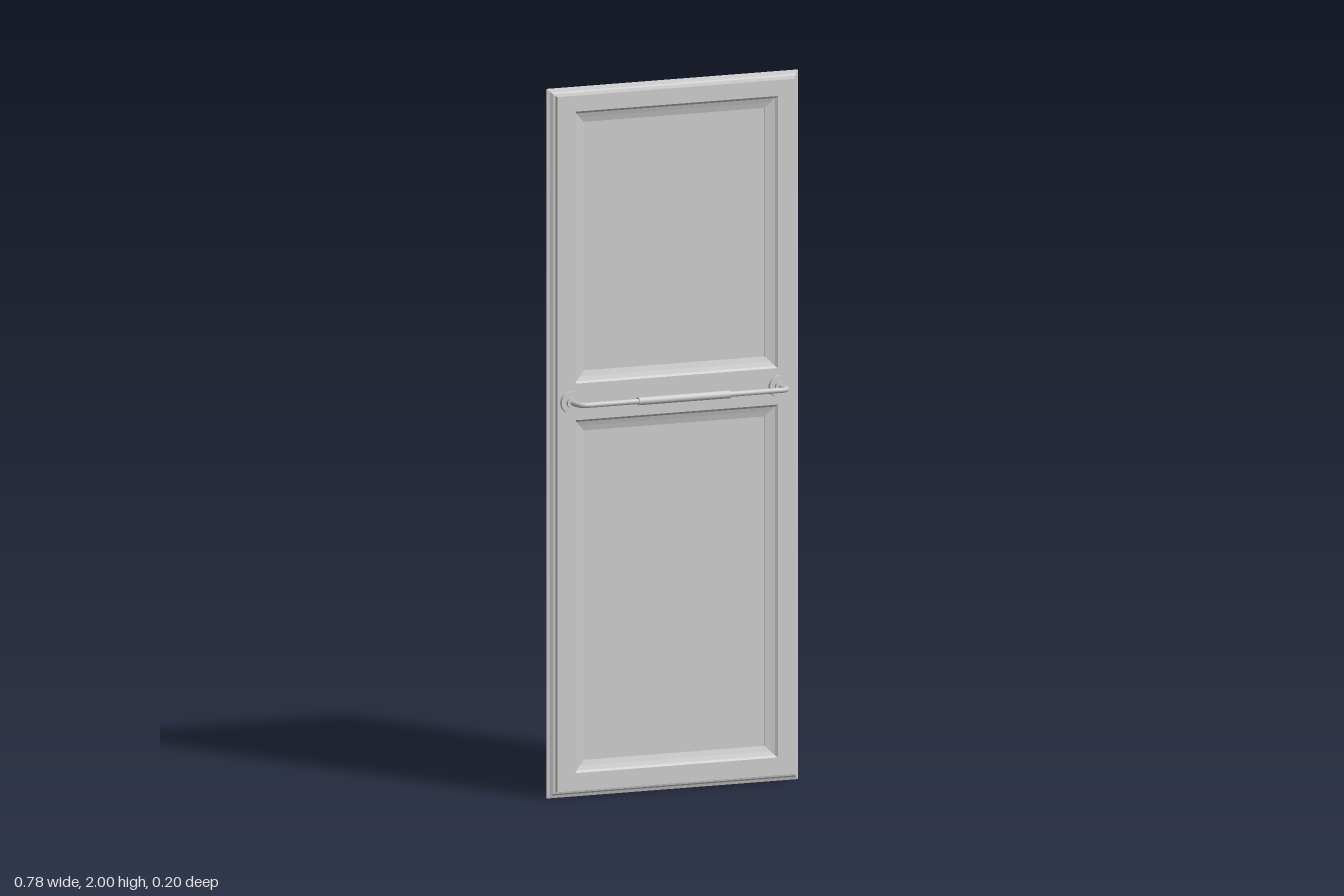
import * as THREE from 'three';

const W = 0.388, FRONT = 0.018, BACK = -0.023, MID = (FRONT + BACK) / 2;
const material = new THREE.MeshStandardMaterial({ color: 0xcccccc });

function add(parent, name, geometry) {
  const mesh = new THREE.Mesh(geometry, material);
  mesh.name = name;
  parent.add(mesh);
  return mesh;
}

// Rectangular moulding: joins rectangles shrunk by each [inset, z] of a profile
function moulding([x0, x1, y0, y1], profile) {
  const rings = profile.map(([d, z]) => [
    [x0 + d, y0 + d, z], [x1 - d, y0 + d, z], [x1 - d, y1 - d, z], [x0 + d, y1 - d, z],
  ]);
  const pos = [];
  for (let r = 0; r < rings.length - 1; r++) {
    for (let i = 0; i < 4; i++) {
      const j = (i + 1) % 4;
      const a = rings[r][i], b = rings[r][j], c = rings[r + 1][j], d = rings[r + 1][i];
      pos.push(...a, ...b, ...c, ...a, ...c, ...d);
    }
  }
  const g = new THREE.BufferGeometry();
  g.setAttribute('position', new THREE.Float32BufferAttribute(pos, 3));
  g.computeVertexNormals();
  return g;
}

function rectangle(PathType, [x0, x1, y0, y1], d = 0) {
  return new PathType([[x0 + d, y0 + d], [x1 - d, y0 + d], [x1 - d, y1 - d], [x0 + d, y1 - d]]
    .map(([x, y]) => new THREE.Vector2(x, y)));
}

// Handle facing +z, standing on z = 0
function makeHandle(name) {
  const handle = new THREE.Group();
  handle.name = name;
  const half = 0.322, reach = 0.069, bend = 0.025;
  const V = (x, z) => new THREE.Vector3(x, 0, z);

  // Bent bar: straight legs, rounded corners, straight middle
  const path = new THREE.CurvePath();
  path.add(new THREE.LineCurve3(V(-half, 0), V(-half, reach - bend)));
  path.add(new THREE.QuadraticBezierCurve3(V(-half, reach - bend), V(-half, reach), V(bend - half, reach)));
  path.add(new THREE.LineCurve3(V(bend - half, reach), V(half - bend, reach)));
  path.add(new THREE.QuadraticBezierCurve3(V(half - bend, reach), V(half, reach), V(half, reach - bend)));
  path.add(new THREE.LineCurve3(V(half, reach - bend), V(half, 0)));
  add(handle, 'handleBar', new THREE.TubeGeometry(path, 160, 0.0075, 12));

  const grip = add(handle, 'grip', new THREE.CylinderGeometry(0.011, 0.011, 0.283, 20));
  grip.rotation.z = Math.PI / 2;
  grip.position.set(-0.004, 0, reach);

  // Stepped mounting discs
  for (const side of [-1, 1]) {
    for (const [part, radius, z0, z1] of [['rosette', 0.031, 0, 0.01], ['collar', 0.016, 0.01, 0.018]]) {
      const disc = add(handle, part, new THREE.CylinderGeometry(radius, radius, z1 - z0, 28));
      disc.rotation.x = Math.PI / 2;
      disc.position.set(side * half, 0, (z0 + z1) / 2);
    }
  }
  return handle;
}

export function createModel() {
  const door = new THREE.Group();
  door.name = 'door';
  const outline = [-W, W, 0, 2];
  const openings = { lower: [-0.313, 0.313, 0.07, 1.065], upper: [-0.313, 0.313, 1.168, 1.935] };

  // Stepped outer edge, back to front
  add(door, 'outerEdge', moulding(outline, [
    [0.009, BACK], [0.003, -0.02], [0, -0.014], [0, -0.008], [0.009, -0.005],
    [0.009, 0], [0.013, 0.004], [0.02, 0.006], [0.02, FRONT],
  ]));

  // Flat frame faces with two openings
  for (const [name, z, inset] of [['frontFrame', FRONT, 0.02], ['backFrame', BACK, 0.009]]) {
    const shape = rectangle(THREE.Shape, outline, inset);
    for (const o of Object.values(openings)) shape.holes.push(rectangle(THREE.Path, o));
    const face = add(door, name, new THREE.ShapeGeometry(shape));
    face.position.z = z;
    if (z < 0) face.rotation.y = Math.PI;
  }

  // Sloped surrounds and recessed panels
  for (const [name, o] of Object.entries(openings)) {
    add(door, name + 'Surround', moulding(o, [
      [0, FRONT], [0.006, 0.012], [0.018, 0.008], [0.033, 0.004],
      [0.033, -0.009], [0.018, -0.013], [0.006, -0.017], [0, BACK],
    ]));
    const [x0, x1, y0, y1] = o;
    const panel = add(door, name + 'Panel', new THREE.BoxGeometry(x1 - x0 - 0.06, y1 - y0 - 0.06, 0.008));
    panel.position.set(0, (y0 + y1) / 2, MID);
  }

  // Matching handles on both faces
  const frontHandle = makeHandle('frontHandle');
  frontHandle.position.set(-0.007, 1.117, FRONT);
  const backHandle = makeHandle('backHandle');
  backHandle.position.set(-0.007, 1.117, BACK);
  backHandle.scale.z = -1;
  door.add(frontHandle, backHandle);
  return door;
}
